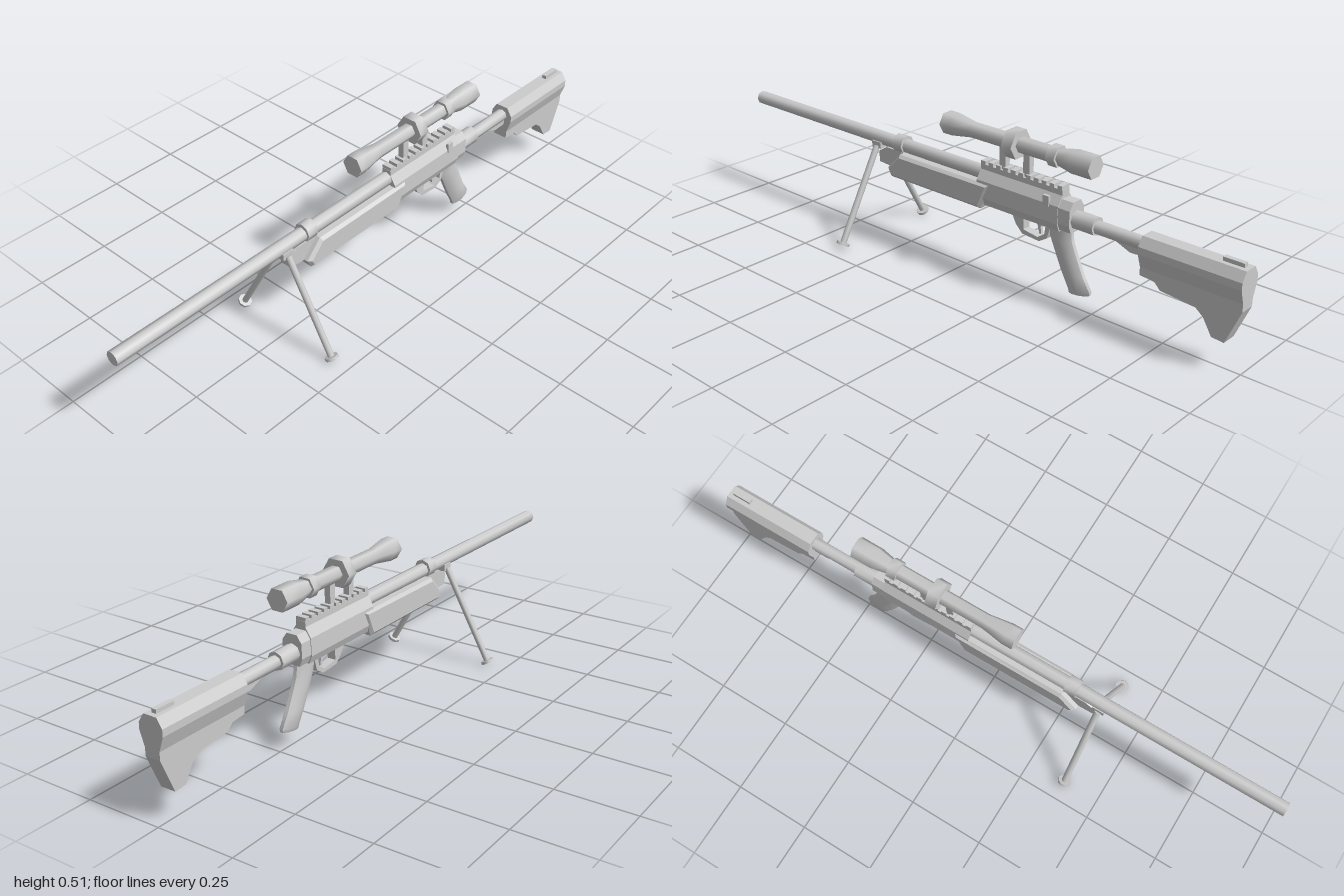
import * as THREE from 'three';
import { toCreasedNormals } from 'three/addons/utils/BufferGeometryUtils.js';

const smooth = new THREE.MeshStandardMaterial({ color: 0xcccccc });
const flat = new THREE.MeshStandardMaterial({ color: 0xcccccc, flatShading: true });

export function createModel() {
  const group = new THREE.Group();

  function add(name, geometry, material = flat) {
    const mesh = new THREE.Mesh(geometry, material);
    mesh.name = name;
    group.add(mesh);
    return mesh;
  }

  // Box given by its extents
  function block(name, x0, x1, y0, y1, halfZ, z = 0) {
    add(name, new THREE.BoxGeometry(x1 - x0, y1 - y0, halfZ * 2)).position.set((x0 + x1) / 2, (y0 + y1) / 2, z);
  }

  // Side profile in x, y extruded evenly about z = 0
  function slab(name, profile, halfZ, bevel = 0, holes = []) {
    const toPoints = (list) => list.map(([x, y]) => new THREE.Vector2(x, y));
    const shape = new THREE.Shape(toPoints(profile));
    holes.forEach((h) => shape.holes.push(new THREE.Path(toPoints(h))));
    const depth = 2 * (halfZ - bevel);
    const geo = new THREE.ExtrudeGeometry(shape, {
      depth, bevelEnabled: bevel > 0, bevelThickness: bevel, bevelSize: bevel, bevelOffset: -bevel, bevelSegments: 1,
    });
    geo.translate(0, 0, -depth / 2);
    add(name, geo);
  }

  // Mirrored z, y half-section (top to bottom) swept along x
  function bar(name, half, x0, x1) {
    const section = [...half, ...half.map(([z, y]) => [-z, y]).reverse()];
    const shape = new THREE.Shape(section.map(([z, y]) => new THREE.Vector2(-z, y)));
    const geo = new THREE.ExtrudeGeometry(shape, { depth: x1 - x0, bevelEnabled: false });
    add(name, geo.rotateY(Math.PI / 2).translate(x0, 0, 0));
  }

  // Turned part along x from [x, radius] points
  function turned(name, y, points, sides) {
    const geo = new THREE.LatheGeometry(
      [[points[0][0], 0], ...points, [points.at(-1)[0], 0]].map(([x, r]) => new THREE.Vector2(r, x)), sides);
    geo.rotateZ(-Math.PI / 2).translate(0, y, 0);
    add(name, toCreasedNormals(geo, 1.1), smooth);
  }

  // Straight rod between two points
  function rod(name, a, b, r) {
    const from = new THREE.Vector3(...a), to = new THREE.Vector3(...b);
    const dir = to.clone().sub(from);
    const mesh = add(name, new THREE.CylinderGeometry(r, r, dir.length(), 8), smooth);
    mesh.position.copy(from).add(to).multiplyScalar(0.5);
    mesh.quaternion.setFromUnitVectors(new THREE.Vector3(0, 1, 0), dir.normalize());
  }

  // Barrel and its band
  turned('barrel', 0.338, [[-1, 0.023], [0.1, 0.023]], 8);
  turned('barrelBand', 0.342, [[-0.3, 0.03], [-0.26, 0.03]], 8);

  // Fore-end
  slab('foreEnd', [[-0.3, 0.232], [0.09, 0.232], [0.125, 0.318], [-0.26, 0.318], [-0.315, 0.26]], 0.044, 0.01);
  slab('foreEndNose', [[-0.37, 0.262], [-0.26, 0.255], [-0.26, 0.32], [-0.335, 0.32], [-0.37, 0.3]], 0.02);

  // Receiver with a toothed top rail
  bar('receiver', [[0.017, 0.372], [0.017, 0.355], [0.036, 0.325], [0.038, 0.27], [0.028, 0.245]], 0.075, 0.39);
  bar('receiverRear', [[0.018, 0.345], [0.034, 0.322], [0.036, 0.275], [0.026, 0.25]], 0.39, 0.432);
  for (let i = 0; i < 11; i++) {
    const x = 0.076 + i * 0.0295;
    block('railTooth', x, x + 0.018, 0.37, 0.383, 0.017);
  }
  block('boltPort', 0.335, 0.357, 0.318, 0.35, 0.005, 0.034);

  // Trigger and guard
  slab('triggerGuard', [[0.195, 0.25], [0.215, 0.212], [0.24, 0.187], [0.305, 0.182], [0.335, 0.2], [0.35, 0.25]], 0.014, 0,
    [[[0.245, 0.243], [0.245, 0.202], [0.3, 0.194], [0.325, 0.21], [0.33, 0.243]]]);
  slab('trigger', [[0.29, 0.248], [0.31, 0.248], [0.304, 0.225], [0.307, 0.203], [0.299, 0.203], [0.293, 0.225]], 0.005);

  // Pistol grip: cylinder reshaped ring by ring as [front x, rear x, y, half width]
  const rings = [
    [0.415, 0.492, 0.052, 0.014], [0.413, 0.495, 0.064, 0.019], [0.385, 0.47, 0.11, 0.02],
    [0.36, 0.445, 0.165, 0.021], [0.34, 0.425, 0.21, 0.02], [0.33, 0.42, 0.255, 0.02],
  ];
  const grip = new THREE.CylinderGeometry(1, 1, rings.length - 1, 10, rings.length - 1);
  const pos = grip.attributes.position;
  for (let i = 0; i < pos.count; i++) {
    const [f, r, y, w] = rings[Math.round(pos.getY(i) + (rings.length - 1) / 2)];
    const c = pos.getX(i);
    pos.setXYZ(i, (f + r) / 2 + c * (r - f) / 2, y + c * (y < 0.07 ? 0.006 : 0), pos.getZ(i) * w);
  }
  add('pistolGrip', toCreasedNormals(grip, 0.9), smooth);

  // Stock tube and stock
  turned('tubeCollar', 0.288, [[0.42, 0.029], [0.508, 0.029]], 8);
  turned('stockTube', 0.286, [[0.5, 0.021], [0.69, 0.021]], 8);
  slab('stockLatch', [[0.58, 0.27], [0.69, 0.27], [0.69, 0.252], [0.63, 0.25]], 0.012);
  bar('stockBody', [[0.022, 0.32], [0.04, 0.292], [0.04, 0.27], [0.025, 0.225]], 0.675, 1);
  slab('stock', [[0.675, 0.3], [0.675, 0.2], [0.725, 0.195], [0.745, 0.175], [0.86, 0.165], [0.885, 0.145],
    [0.915, 0.095], [0.955, 0.092], [1, 0.2], [1, 0.3]], 0.025);
  block('stockStrip', 0.92, 0.985, 0.315, 0.332, 0.008);

  // Scope on two posts
  turned('scope', 0.465, [[-0.08, 0.037], [-0.045, 0.037], [0.03, 0.025], [0.36, 0.025], [0.42, 0.037], [0.492, 0.037]], 6);
  turned('scopeTurret', 0.465, [[0.18, 0.048], [0.218, 0.048]], 6);
  turned('scopeRing', 0.465, [[0.335, 0.034], [0.367, 0.034]], 6);
  for (const x of [0.155, 0.248]) block('scopePost', x - 0.012, x + 0.012, 0.37, 0.455, 0.01);

  // Bipod
  block('bipodMount', -0.4, -0.36, 0.308, 0.33, 0.024);
  for (const s of [1, -1]) {
    rod('bipodLeg', [-0.38, 0.315, s * 0.022], [-0.38, 0.016, s * 0.188], 0.0105);
    rod('bipodFoot', [-0.38, 0.019, s * 0.186], [-0.38, 0.011, s * 0.1905], 0.022);
  }
  return group;
}
